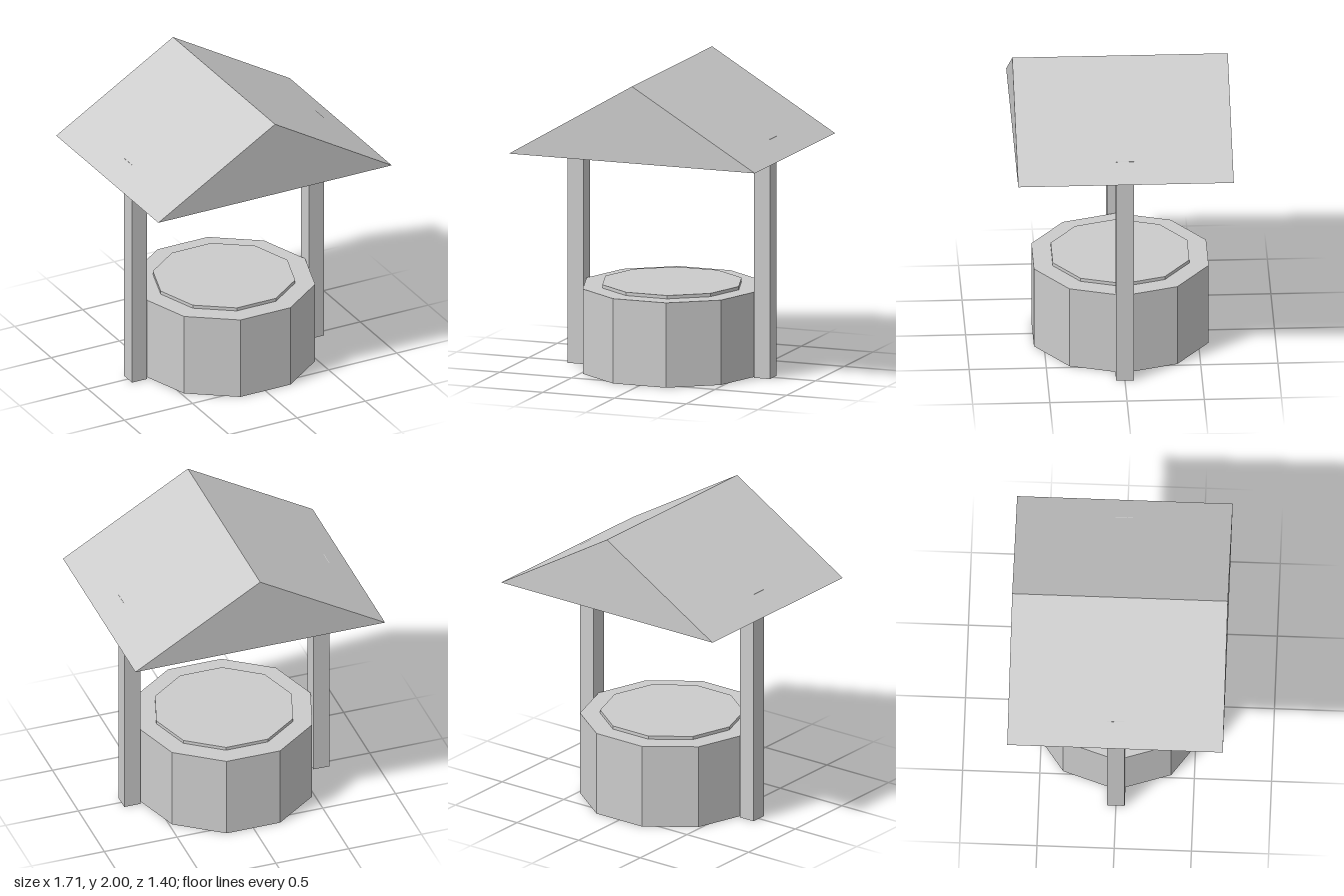
import * as THREE from 'three';

export function createModel() {
  const model = new THREE.Group();
  model.name = 'well';
  const grey = new THREE.MeshStandardMaterial({ color: 0xcccccc });
  grey.name = 'light grey';
  grey.flatShading = true;

  const add = (name, geometry, x = 0, y = 0, z = 0) => {
    const mesh = new THREE.Mesh(geometry, grey);
    mesh.name = name;
    mesh.position.set(x, y, z);
    model.add(mesh);
    return mesh;
  };

  // Ten-sided drum standing on y = bottom, with corners on the x axis
  const drum = (name, radius, bottom, top) =>
    add(name, new THREE.CylinderGeometry(radius, radius, top - bottom, 10, 1, false, Math.PI / 2),
      0, (bottom + top) / 2);

  // Well wall and the slightly raised lid
  drum('wellWall', 0.595, 0, 0.56);
  drum('wellLid', 0.465, 0.54, 0.582);

  // Posts, whose outer top edges just reach through the roof
  const postHeight = 1.584;
  for (const [name, side] of [['leftPost', 1], ['rightPost', -1]]) {
    add(name, new THREE.BoxGeometry(0.11, postHeight, 0.114), side * 0.65, postHeight / 2);
  }

  // Solid gable roof with the ridge along z
  const gable = new THREE.Shape([
    new THREE.Vector2(-0.857, 1.492),
    new THREE.Vector2(0.857, 1.492),
    new THREE.Vector2(0, 2),
  ]);
  const depth = 1.396;
  add('roof', new THREE.ExtrudeGeometry(gable, { depth, bevelEnabled: false }), 0, 0, -depth / 2);

  return model;
}
